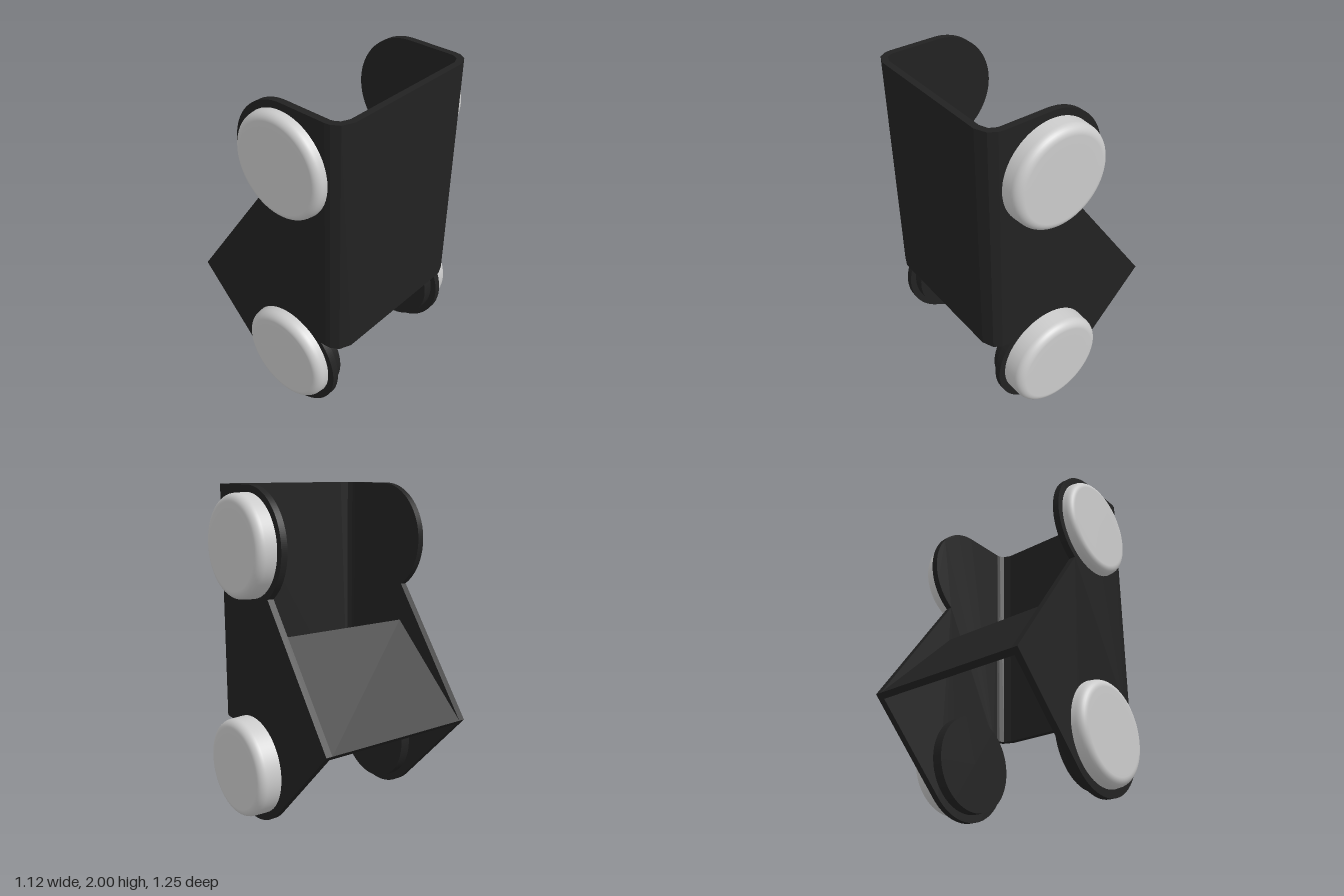
import * as THREE from 'three';

const dark = new THREE.MeshStandardMaterial({ color: 0x222222 });
const grey = new THREE.MeshStandardMaterial({ color: 0xcccccc });

const T = 0.04;             // sheet thickness
const ZC = 0.0325;          // middle of the bracket in z
const HALF = 0.5175;        // half its outer width
const CX = 0.175, LOW = 0.34, HIGH = 1.66, R = 0.34;
const TIP = [-0.56, 0.615];

function add(parent, name, geometry, material) {
  const mesh = new THREE.Mesh(geometry, material);
  mesh.name = name;
  parent.add(mesh);
  return mesh;
}

const extrude = (shape, depth) =>
  new THREE.ExtrudeGeometry(shape, { depth, bevelEnabled: false, curveSegments: 40 });

const polygon = pts => new THREE.Shape(pts.map(p => new THREE.Vector2(...p)));

// Side plate outline: two round lobes and a pointed ear
function sidePlateShape() {
  const dx = TIP[0] - CX, dy = TIP[1] - LOW;
  const tangent = Math.atan2(dy, dx) + Math.acos(R / Math.hypot(dx, dy));
  const s = new THREE.Shape();
  s.moveTo(0.455, 0.575);
  s.lineTo(0.455, 2);
  s.lineTo(CX, 2);
  s.absarc(CX, HIGH, R, Math.PI / 2, Math.PI * 1.31, false);
  s.lineTo(...TIP);
  s.absarc(CX, LOW, R, tangent, Math.PI * 2 + Math.asin((0.575 - LOW) / R), false);
  s.closePath();
  return s;
}

// Pad with a rounded rim, standing off the plate by h
function padGeometry(h) {
  const r = Math.min(0.05, h * 0.7), rim = 0.297;
  const pts = [new THREE.Vector2(0.3, 0)];
  for (let i = 0; i <= 8; i++) {
    const a = (i / 8) * Math.PI / 2;
    pts.push(new THREE.Vector2(rim - r + r * Math.cos(a), h - r + r * Math.sin(a)));
  }
  pts.push(new THREE.Vector2(0.2, h), new THREE.Vector2(0, h));
  return new THREE.LatheGeometry(pts, 64);
}

export function createModel() {
  const model = new THREE.Group();
  model.name = 'bracket';

  // Web plate with bent edges, extruded upward from its plan
  const outer = [[0.455, -HALF], [0.485, -HALF + 0.005], [0.53, -HALF + 0.033], [0.558, -HALF + 0.1]];
  const inner = [[0.52, -HALF + 0.108], [0.502, -HALF + 0.062], [0.475, -HALF + 0.045], [0.455, -HALF + T]];
  const mirror = pts => pts.map(([x, z]) => [x, -z]).reverse();
  const plan = [...outer, ...mirror(outer), ...mirror(inner), ...inner];
  const web = add(model, 'webPlate', extrude(polygon(plan), 2 - 0.575), dark);
  web.rotation.x = -Math.PI / 2;
  web.position.set(0, 0.575, ZC);

  // Sloping cross plate, square to the lower edge of the ears
  const ux = 0.718, uy = 0.696, len = 0.765;
  const [tx, ty] = TIP;
  const slope = polygon([
    [tx, ty],
    [tx + uy * T, ty - ux * T],
    [tx + ux * len + uy * T, ty + uy * len - ux * T],
    [tx + ux * len, ty + uy * len],
  ]);
  const cross = add(model, 'crossPlate', extrude(slope, 2 * (HALF - T)), dark);
  cross.position.z = ZC - HALF + T;

  // Side plates with outer pads and lower inner discs
  const plateShape = sidePlateShape();
  const sides = [
    { name: 'front', dir: 1, high: 0.062, low: 0.075 },
    { name: 'back', dir: -1, high: 0.115, low: 0.138 },
  ];
  for (const { name, dir, high, low } of sides) {
    const side = new THREE.Group();
    side.name = name + 'Side';
    model.add(side);

    const face = ZC + dir * HALF;
    const plate = add(side, name + 'Plate', extrude(plateShape, T), dark);
    plate.position.z = dir > 0 ? face - T : face;

    for (const [label, y, h] of [['Upper', HIGH, high], ['Lower', LOW + 0.007, low]]) {
      const pad = add(side, name + label + 'Pad', padGeometry(h), grey);
      pad.rotation.x = dir * Math.PI / 2;
      pad.position.set(CX, y, face);
    }

    const disc = add(side, name + 'InnerDisc', new THREE.CylinderGeometry(0.3, 0.3, 0.065, 64), dark);
    disc.rotation.x = Math.PI / 2;
    disc.position.set(CX, LOW + 0.007, face - dir * (T + 0.0325));
  }

  return model;
}
